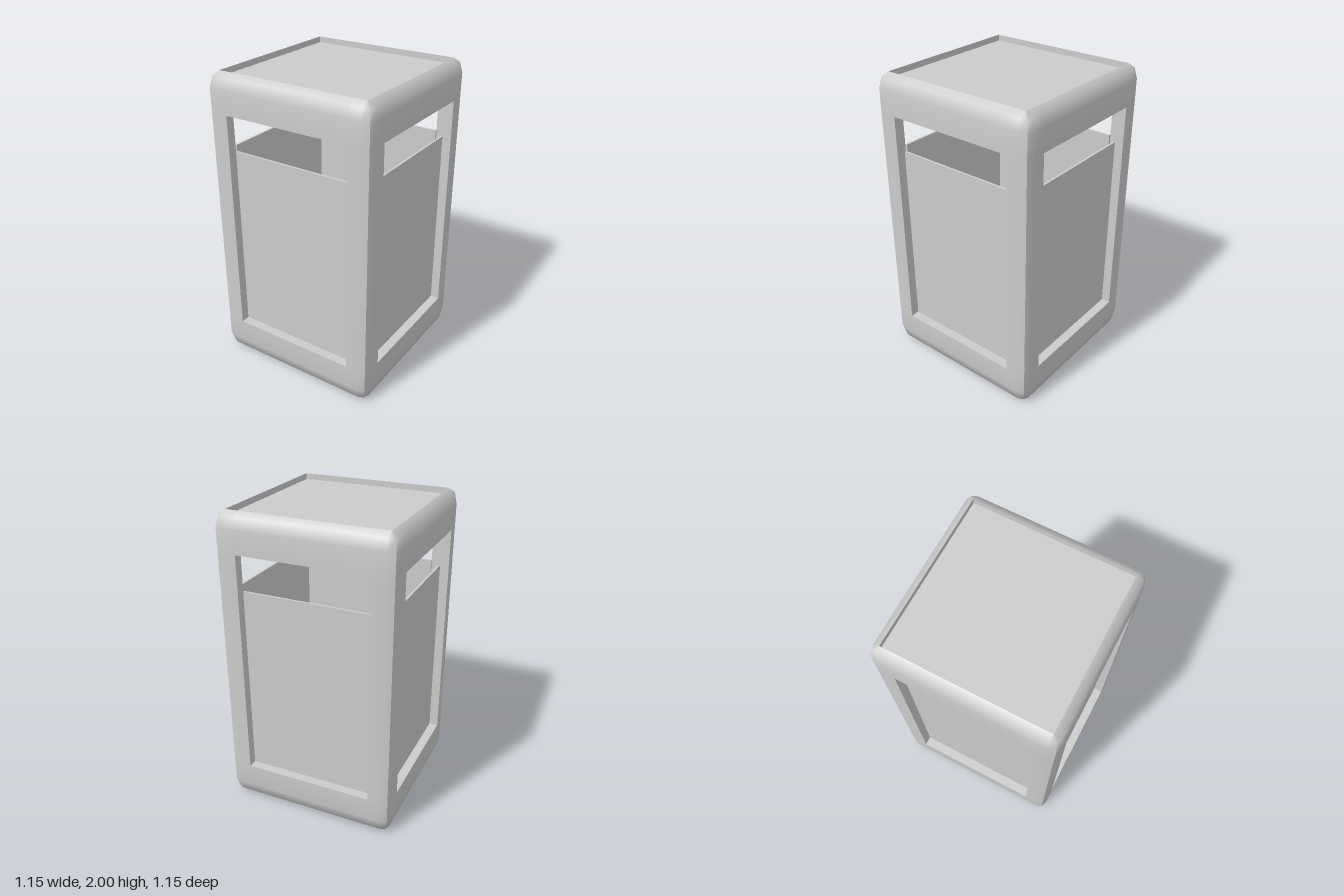
import * as THREE from 'three';
import { toCreasedNormals } from 'three/addons/utils/BufferGeometryUtils.js';

const OUT = 0.575, IN = 0.515;            // outer and inner half widths of the housing
const WIN = 0.43, SILL = 0.25, HEAD = 1.75; // window opening
const material = new THREE.MeshStandardMaterial({ color: 0xcccccc, side: THREE.DoubleSide });

function mesh(name, geometry, x = 0, y = 0, z = 0) {
  const m = new THREE.Mesh(geometry, material);
  m.name = name;
  m.position.set(x, y, z);
  return m;
}

// The wall facing +z: bevelled outside, flat inside, window with reveals
function wallTriangles() {
  const pos = [];
  const quad = (a, b, c, d) => pos.push(...a, ...b, ...c, ...a, ...c, ...d);

  // Quads of a grid of points, leaving out the window cell
  const grid = (nx, ny, holeI, holeJ, point, flip) => {
    for (let i = 0; i < nx; i++) for (let j = 0; j < ny; j++) {
      if (i === holeI && j === holeJ) continue;
      const q = [point(i, j), point(i + 1, j), point(i + 1, j + 1), point(i, j + 1)];
      if (flip) q.reverse();
      quad(...q);
    }
  };

  // Outside: edges roll over in two steps and end in the top and bottom lips
  const xs = [-0.56, -0.51, -WIN, WIN, 0.51, 0.56];
  const ys = [0, 0.03, 0.1, SILL, HEAD, 1.9, 1.97, 2];
  grid(5, 7, 2, 3, (i, j) => {
    const side = i === 0 || i === 5;
    if (j === 0 || j === 7) return [THREE.MathUtils.clamp(xs[i], -IN, IN), ys[j], IN];
    const z = OUT - (side ? 0.015 : 0) - (j === 1 || j === 6 ? 0.015 : 0);
    return [side ? Math.sign(xs[i]) * z : xs[i], ys[j], z];
  });

  // Inside
  const xi = [-IN, -WIN, WIN, IN], yi = [0, SILL, HEAD, 2];
  grid(3, 3, 1, 1, (i, j) => [xi[i], yi[j], IN], true);

  // Window reveals
  const rim = [[-WIN, SILL], [WIN, SILL], [WIN, HEAD], [-WIN, HEAD]];
  rim.forEach((p, k) => {
    const n = rim[(k + 1) % 4];
    quad([...p, OUT], [...n, OUT], [...n, IN], [...p, IN]);
  });
  return pos;
}

// Four walls turned about the middle, shaded together so the lips run round the corners
function housingGeometry() {
  const wall = wallTriangles(), pos = [], v = new THREE.Vector3();
  const up = new THREE.Vector3(0, 1, 0);
  for (let k = 0; k < 4; k++) {
    for (let i = 0; i < wall.length; i += 3) {
      pos.push(...v.fromArray(wall, i).applyAxisAngle(up, k * Math.PI / 2));
    }
  }
  const g = new THREE.BufferGeometry();
  g.setAttribute('position', new THREE.Float32BufferAttribute(pos, 3));
  return toCreasedNormals(g, 0.9);
}

export function createModel() {
  const model = new THREE.Group();
  model.name = 'litterBin';
  model.add(mesh('housing', housingGeometry()));

  // A thin panel behind each window, leaving the slot above it open
  const panel = new THREE.BoxGeometry(2 * WIN, 1.5 - SILL, 0.015);
  for (let k = 0; k < 4; k++) {
    const side = new THREE.Group();
    side.name = 'side' + (k + 1);
    side.rotation.y = k * Math.PI / 2;
    side.add(mesh('sidePanel', panel, 0, (1.5 + SILL) / 2, IN - 0.0075));
    model.add(side);
  }

  // Lid sunk a little into the top opening, and the raised floor inside
  model.add(mesh('lid', new THREE.BoxGeometry(2 * IN, 0.21, 2 * IN), 0, HEAD + 0.105, 0));
  model.add(mesh('floor', new THREE.BoxGeometry(2 * WIN, 0.03, 1), 0, 0.565, 0));
  return model;
}
